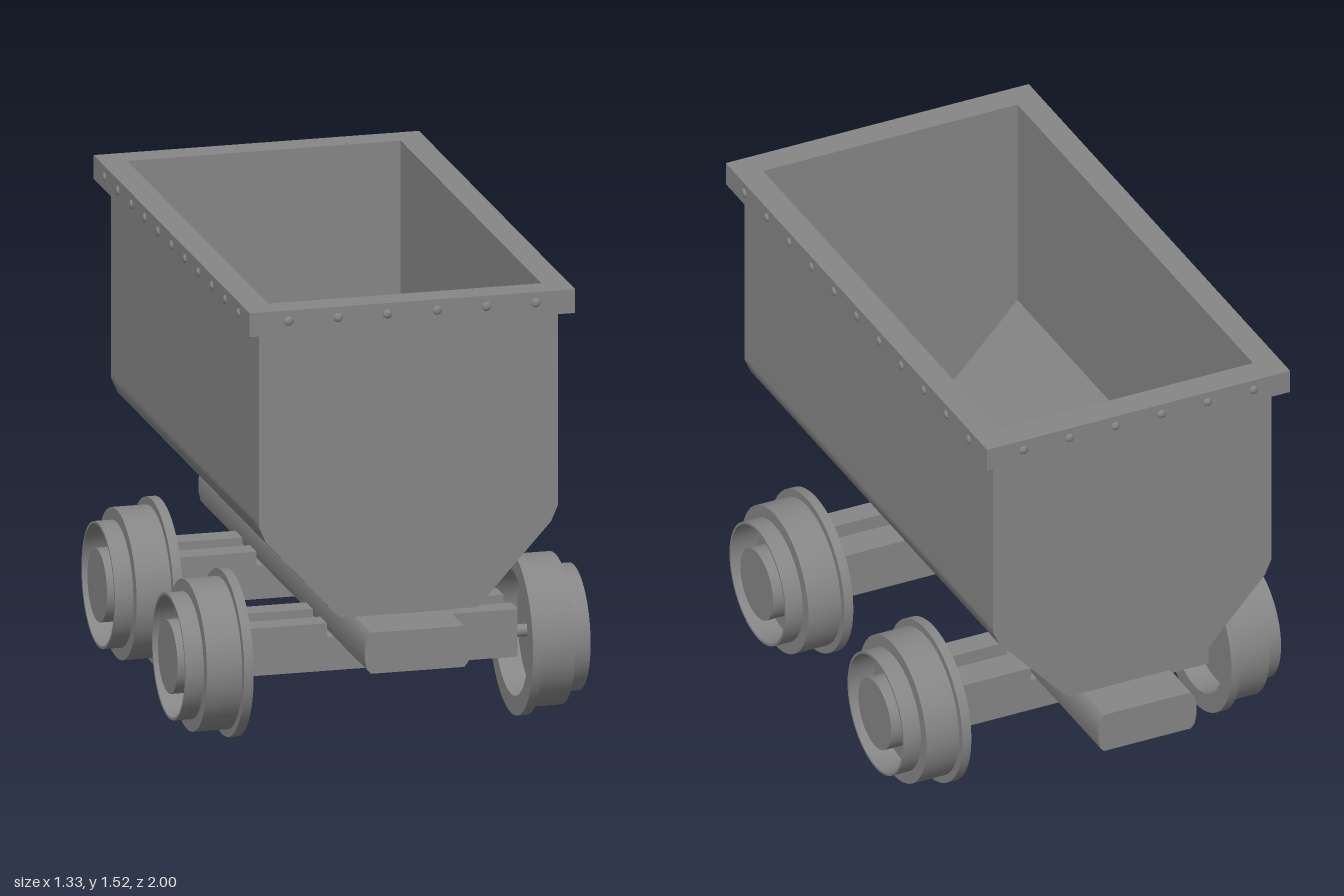
import * as THREE from 'three';
import { toCreasedNormals } from 'three/addons/utils/BufferGeometryUtils.js';

const material = new THREE.MeshStandardMaterial({ color: 0x868686 });

function add(parent, name, geometry, x = 0, y = 0, z = 0) {
  const mesh = new THREE.Mesh(geometry, material);
  mesh.name = name;
  mesh.position.set(x, y, z);
  parent.add(mesh);
  return mesh;
}

const toShape = (points) => new THREE.Shape(points.map(([x, y]) => new THREE.Vector2(x, y)));

// Mirrors a list of points in x and reverses it, to continue a half profile
const flipped = (pts) => pts.map(([x, y]) => [-x, y]).reverse();

// Extrudes a shape along z, centred on the origin
function prism(shape, depth) {
  const g = new THREE.ExtrudeGeometry(shape, { depth, bevelEnabled: false });
  g.translate(0, 0, -depth / 2);
  return toCreasedNormals(g, 0.5);
}

const rectangle = (w, d) => [[-w, -d], [w, -d], [w, d], [-w, d]];

function createTub() {
  const tub = new THREE.Group();
  tub.name = 'tub';
  const top = 1.445;
  // Extra points beside each fold keep the rounding narrow
  const outer = [
    [0.21, 0.487], [0.222, 0.487], [0.235, 0.497], [0.245, 0.508],
    [0.455, 0.739], [0.465, 0.75], [0.487, 0.8], [0.487, 0.815], [0.487, top],
  ];
  const inner = [[0.2, 0.53], [0.445, 0.79], [0.445, top]];

  // Trough with open top: up the outside, down the inside
  const trough = [...outer, ...[...inner].reverse(), ...flipped([...inner].reverse()), ...flipped(outer)];
  add(tub, 'troughWalls', prism(toShape(trough), 1.69));

  // End plates
  const plate = prism(toShape([...outer, ...flipped(outer)]), 0.045);
  for (const s of [1, -1]) add(tub, 'endPlate', plate, 0, 0, s * 0.8675);

  // Rim frame
  const frame = toShape(rectangle(0.53, 0.938));
  frame.holes.push(toShape(rectangle(0.445, 0.845).reverse()));
  const rim = prism(frame, 0.078);
  rim.rotateX(-Math.PI / 2);
  add(tub, 'rim', rim, 0, 1.478, 0);

  // Rivets around the rim
  const rivet = new THREE.SphereGeometry(0.015, 12, 8);
  for (const s of [1, -1]) {
    for (let i = -2.5; i <= 2.5; i++) {
      add(tub, 'endRivet', rivet, i * 0.161, 1.482, s * 0.938).scale.z = 0.5;
    }
    for (let i = -5; i <= 5; i++) {
      add(tub, 'sideRivet', rivet, s * 0.53, 1.482, i * 0.161).scale.x = 0.5;
    }
  }
  return tub;
}

function createChassis() {
  const chassis = new THREE.Group();
  chassis.name = 'chassis';
  // Full-length sill with rounded sides
  const half = [[0.152, 0.327], [0.165, 0.342], [0.171, 0.37], [0.171, 0.415], [0.164, 0.445], [0.152, 0.461]];
  add(chassis, 'centreSill', prism(toShape([...half, ...flipped(half)]), 2));
  add(chassis, 'tubSupport', new THREE.BoxGeometry(0.31, 0.035, 1.62), 0, 0.475, 0);
  return chassis;
}

// Turned wheel with flange, tread, dished faces and hub; outer side faces +x
function wheelGeometry() {
  const profile = [
    [0, 0.53], [0.2, 0.53], [0.205, 0.455], [0.267, 0.455], [0.267, 0.486], [0.242, 0.486],
    [0.242, 0.6], [0.202, 0.6], [0.202, 0.66], [0.194, 0.66], [0.194, 0.57], [0.118, 0.57],
    [0.118, 0.663], [0, 0.663],
  ].map(([r, h]) => new THREE.Vector2(r, h));
  const g = new THREE.LatheGeometry(profile, 48);
  g.rotateZ(-Math.PI / 2);
  return toCreasedNormals(g, 0.5);
}

function createWheelset(z) {
  const set = new THREE.Group();
  set.name = 'wheelset';
  set.position.set(0, 0.268, z);

  // Wheels on a thin axle
  const wheel = wheelGeometry();
  add(set, 'leftWheel', wheel);
  add(set, 'rightWheel', wheel).rotation.y = Math.PI;
  const axle = new THREE.CylinderGeometry(0.02, 0.02, 1.08, 16);
  axle.rotateZ(Math.PI / 2);
  add(set, 'axle', axle);

  // Crossbeam with raised bars either side of the sill
  add(set, 'crossbeam', new THREE.BoxGeometry(0.886, 0.11, 0.25), 0, 0.007, 0);
  const bar = new THREE.BoxGeometry(0.265, 0.045, 0.08);
  for (const sx of [1, -1]) {
    for (const sz of [1, -1]) add(set, 'beamBar', bar, sx * 0.3105, 0.0845, sz * 0.085);
  }
  return set;
}

export function createModel() {
  const model = new THREE.Group();
  model.name = 'mineCart';
  model.add(createTub(), createChassis(), createWheelset(0.443), createWheelset(-0.404));
  return model;
}
